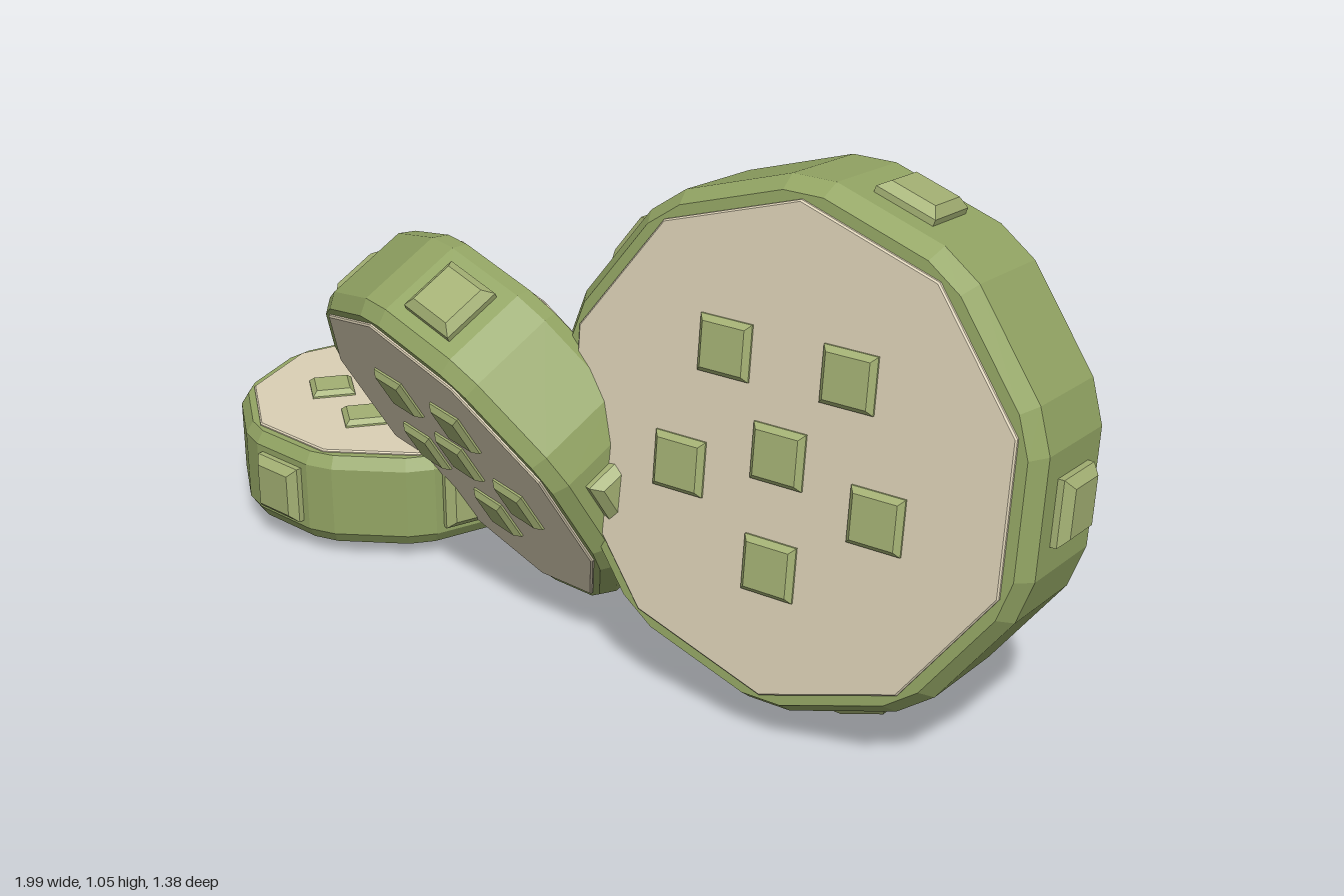
import * as THREE from 'three';

const TAU = Math.PI * 2;
const DEG = Math.PI / 180;
const material = (color) => new THREE.MeshStandardMaterial({ color, flatShading: true });
const green = material(0x93a564);
const cream = material(0xdbd0b5);
const pale = material(0xa3b073);

// Slab with chamfered edges, lying flat and centred at the origin
function slab(points, height, chamferHeight, chamferWidth) {
  const depth = height - 2 * chamferHeight;
  const geometry = new THREE.ExtrudeGeometry(new THREE.Shape(points), {
    depth,
    bevelEnabled: true,
    bevelSegments: 1,
    bevelThickness: chamferHeight,
    bevelSize: chamferWidth,
    bevelOffset: -chamferWidth,
  });
  geometry.translate(0, 0, -depth / 2);
  return geometry.rotateX(-Math.PI / 2);
}

// Ten-sided outline, each corner trimmed by a short cut
function decagon(radius, cut = 5) {
  const points = [];
  const apothem = radius * Math.cos(18 * DEG);
  const half = (18 - cut) * DEG;
  for (let i = 0; i < 10; i++) {
    for (const offset of cut ? [-half, half] : [half]) {
      const angle = i * 36 * DEG + offset;
      const r = apothem / Math.cos(half);
      points.push(new THREE.Vector2(Math.cos(angle) * r, Math.sin(angle) * r));
    }
  }
  return points;
}

function square(size) {
  const h = size / 2;
  return [[-h, -h], [h, -h], [h, h], [-h, h]].map(([x, y]) => new THREE.Vector2(x, y));
}

function addMesh(parent, name, geometry, mat) {
  const mesh = new THREE.Mesh(geometry, mat);
  mesh.name = name;
  parent.add(mesh);
  return mesh;
}

// One disc: green rim, cream faces, six studs per face, five studs around the rim
function createDisc({ name, radius, position, lean, turn }) {
  const disc = new THREE.Group();
  disc.name = name;
  addMesh(disc, 'rim', slab(decagon(radius), radius * 0.56, radius * 0.07, radius * 0.045), green);
  addMesh(disc, 'facePlates', slab(decagon(radius * 0.91, 0), radius * 0.59, 0.003, 0.003), cream);

  // Face studs: one in the middle and a ring of five
  const faceStud = slab(square(0.06 + 0.09 * radius), 0.05, 0.01, 0.01);
  for (const side of [1, -1]) {
    for (let i = 0; i < 6; i++) {
      const angle = 90 * DEG + (i / 5) * TAU;
      const r = i < 5 ? radius * 0.417 : 0;
      const stud = addMesh(disc, 'faceStud', faceStud, pale);
      stud.position.set(Math.cos(angle) * r, side * (radius * 0.295 - 0.011), -Math.sin(angle) * r);
    }
  }

  // Rim studs sit flat on every other side
  const rimStud = slab(square(0.122), 0.08, 0.016, 0.016).rotateZ(-Math.PI / 2);
  for (let i = 0; i < 5; i++) {
    const angle = (i / 5) * TAU;
    const r = radius * 0.951 - 0.012;
    const stud = addMesh(disc, 'rimStud', rimStud, pale);
    stud.position.set(Math.cos(angle) * r, 0, -Math.sin(angle) * r);
    stud.rotation.y = angle;
  }

  disc.position.set(...position);
  disc.rotation.set(lean * DEG, turn * DEG, 0, 'YXZ');
  return disc;
}

export function createModel() {
  const model = new THREE.Group();
  model.name = 'studdedDiscs';
  const discs = [
    { name: 'smallFlatDisc', radius: 0.355, position: [-0.63, 0.133, -0.065], lean: 0, turn: 34 },
    { name: 'largeFlatDisc', radius: 0.437, position: [0.173, 0.143, -0.232], lean: 0, turn: 22 },
    { name: 'uprightDisc', radius: 0.505, position: [0.487, 0.547, 0.445], lean: -96.5, turn: -13 },
    { name: 'leaningDisc', radius: 0.412, position: [-0.21, 0.405, 0.29], lean: -59.7, turn: -31.7 },
  ];
  for (const spec of discs) model.add(createDisc(spec));
  return model;
}
